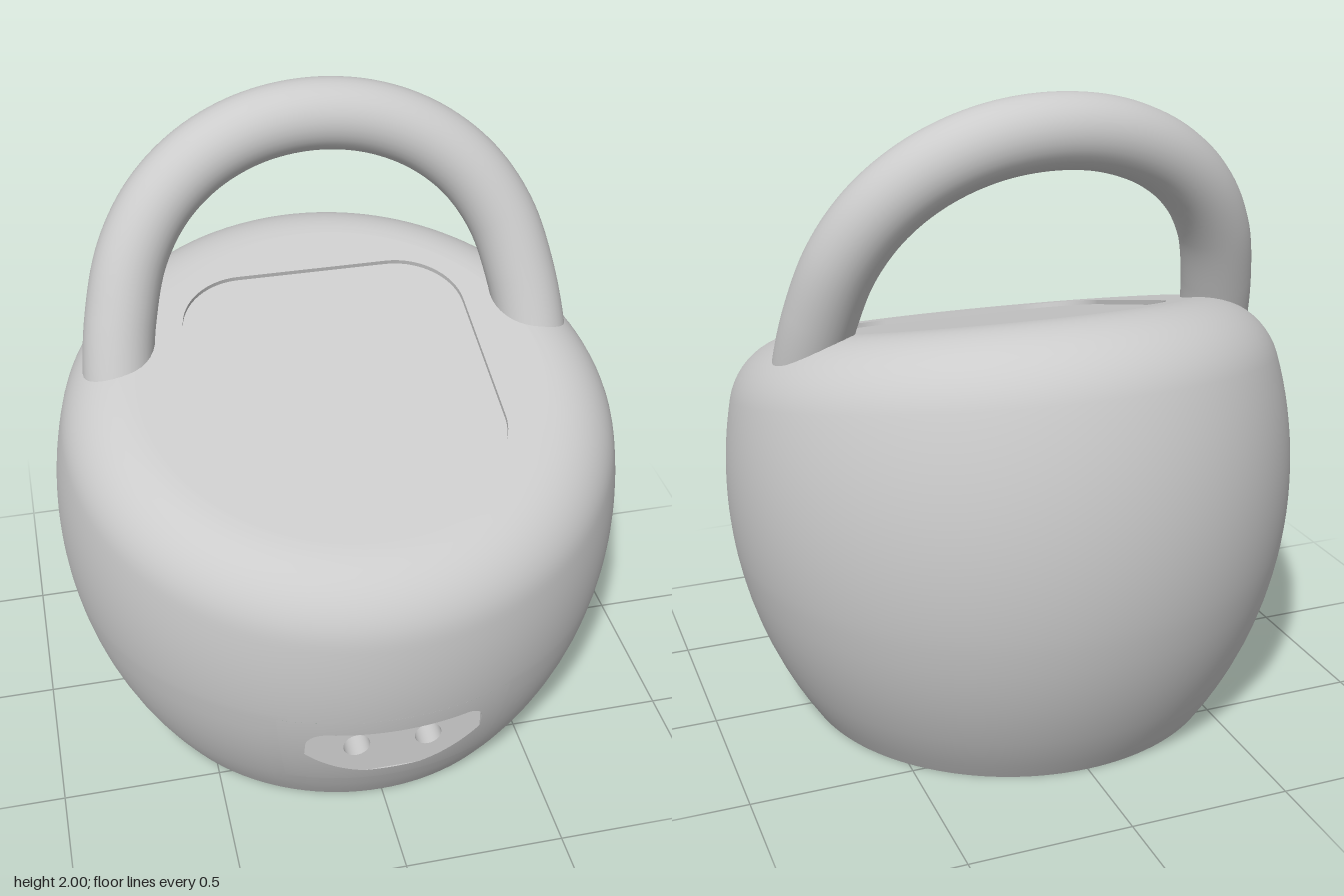
import * as THREE from 'three';

const material = new THREE.MeshStandardMaterial({ color: 0xcccccc });
const TILT = Math.PI / 12, TOP_Y = 1.25;            // slanted top plane
const R = 1.36, CX = -0.455, CY = 0.75, FILLET = 0.25; // barrel arc and top rounding
const SEG = 120, ROW_A = 3, ROW_B = 8, HALF = 8;    // body grid and its front opening
const Y0 = 0.17, Y1 = 0.52, PHI = HALF * 2 * Math.PI / SEG;
const FLOOR_Z = 0.797, PORT_Y = 0.345;

const barrelR = y => CX + Math.sqrt(R * R - (y - CY) ** 2);
const onBarrel = (phi, y, r = barrelR(y)) => new THREE.Vector3(r * Math.sin(phi), y, r * Math.cos(phi));

// Skin between closed rings of equal point count
function loft(rings, skip = () => false) {
  const n = rings[0].length, index = [];
  for (let j = 0; j < rings.length - 1; j++) {
    for (let i = 0; i < n; i++) {
      if (skip(j, i)) continue;
      const k = (i + 1) % n, a = j * n + i, b = j * n + k, c = b + n, d = a + n;
      index.push(a, b, c, a, c, d);
    }
  }
  const geo = new THREE.BufferGeometry().setFromPoints(rings.flat());
  geo.setIndex(index);
  geo.computeVertexNormals();
  return geo;
}

function add(parent, name, geo) {
  const mesh = new THREE.Mesh(geo, material);
  mesh.name = name;
  parent.add(mesh);
  return mesh;
}

// Section of the body at one azimuth: barrel arc, then rounding up to the slanted top
function section(phi) {
  const k = Math.tan(TILT) * Math.cos(phi), q = 1 + k * k, rho = R - FILLET;
  const b = TOP_Y - CY - FILLET * Math.sqrt(q), h = CX + k * b;
  const s = (h + Math.sqrt(h * h - q * (CX * CX + b * b - rho * rho))) / q;
  const fy = CY + b - k * s;
  const start = Math.asin((Y1 - CY) / R), a0 = Math.atan2(fy - CY, s - CX), a1 = Math.atan2(1, k);
  const pts = [];
  for (let j = 0; j <= ROW_A; j++) pts.push(onBarrel(phi, Y0 * j / ROW_A));
  for (let j = ROW_A + 1; j <= ROW_B; j++) pts.push(onBarrel(phi, Y0 + (Y1 - Y0) * (j - ROW_A) / (ROW_B - ROW_A)));
  for (let j = 1; j <= 14; j++) {
    const a = start + (a0 - start) * j / 14;
    pts.push(onBarrel(phi, CY + R * Math.sin(a), CX + R * Math.cos(a)));
  }
  for (let j = 1; j <= 12; j++) {
    const a = a0 + (a1 - a0) * j / 12;
    pts.push(onBarrel(phi, fy + FILLET * Math.sin(a), s + FILLET * Math.cos(a)));
  }
  return pts;
}

// Is a barrel point cut away by the port recess (rounded upper corners)?
function inRecess(phi, y) {
  const p = onBarrel(phi, y), dx = Math.abs(p.x) - 0.215, dy = y - 0.4;
  if (p.z < FLOOR_Z || y < 0.23 || y > 0.46 || dx > 0.06) return false;
  return !(dx > 0 && dy > 0 && Math.hypot(dx, dy) > 0.06);
}

function roundedRect(x0, y0, x1, y1, r) {
  const s = new THREE.Shape();
  s.absarc(x1 - r, y0 + r, r, -Math.PI / 2, 0);
  s.absarc(x1 - r, y1 - r, r, 0, Math.PI / 2);
  s.absarc(x0 + r, y1 - r, r, Math.PI / 2, Math.PI);
  s.absarc(x0 + r, y0 + r, r, Math.PI, Math.PI * 1.5);
  return s;
}

function circle(x, y, r, n = 32) {
  return Array.from({ length: n }, (_, i) => new THREE.Vector2(
    x + r * Math.cos(i / n * 2 * Math.PI), y + r * Math.sin(i / n * 2 * Math.PI)));
}
const atZ = (pts, z) => pts.map(p => new THREE.Vector3(p.x, p.y, z));

function makeBody() {
  const body = new THREE.Group();
  body.name = 'body';
  const columns = Array.from({ length: SEG }, (_, i) => section(i / SEG * 2 * Math.PI));
  const rings = columns[0].map((_, j) => columns.map(c => c[j]));
  add(body, 'shell', loft(rings, (j, i) =>
    j >= ROW_A && j < ROW_B && (i < HALF || i >= SEG - HALF)));
  const base = new THREE.CircleGeometry(barrelR(0), SEG);
  add(body, 'base', base.rotateX(Math.PI / 2));

  // Slanted top with a shallow rounded square inset
  const top = new THREE.Group();
  top.name = 'top';
  top.rotation.x = TILT - Math.PI / 2;
  top.position.y = TOP_Y;
  body.add(top);
  const rim = new THREE.Shape(rings.at(-1).map(p => new THREE.Vector2(p.x, -p.z / Math.cos(TILT))));
  const inset = roundedRect(-0.455, -0.549, 0.455, 0.367, 0.21).getPoints(12);
  rim.holes.push(new THREE.Path(inset));
  add(top, 'topFace', new THREE.ShapeGeometry(rim));
  add(top, 'insetWall', loft([atZ(inset, 0), atZ(inset, -0.015)]));
  add(top, 'insetPanel', new THREE.ShapeGeometry(new THREE.Shape(inset))).position.z = -0.015;
  return body;
}

function makePortRecess() {
  const recess = new THREE.Group();
  recess.name = 'portRecess';
  // Border of the shell opening, counter-clockwise from the front
  const border = [], n = 48, mid = (Y0 + Y1) / 2, h = (Y1 - Y0) / 2;
  for (const [ax, ay, bx, by] of [[-1, -1, 1, -1], [1, -1, 1, 1], [1, 1, -1, 1], [-1, 1, -1, -1]]) {
    for (let i = 0; i < n; i++) {
      const t = i / n;
      border.push([(ax + (bx - ax) * t) * PHI, (ay + (by - ay) * t) * h]);
    }
  }
  // Shrink each border point until it meets the recess edge
  const shrink = border.map(([p, d]) => {
    let lo = 0, hi = 1;
    for (let k = 0; k < 30; k++) {
      const m = (lo + hi) / 2;
      if (inRecess(p * m, mid + d * m)) lo = m; else hi = m;
    }
    return lo;
  });
  const rings = [];
  for (let j = 0; j <= 5; j++) {
    rings.push(border.map(([p, d], i) => {
      const s = 1 + (shrink[i] - 1) * j / 5;
      return onBarrel(p * s, mid + d * s);
    }));
  }
  const surround = loft(rings), pos = surround.attributes.position, v = new THREE.Vector3();
  for (let i = 0; i < pos.count; i++) {
    v.fromBufferAttribute(pos, i);
    const r = Math.hypot(v.x, v.z);
    v.set(v.x / r * (r - CX), v.y - CY, v.z / r * (r - CX)).normalize();
    surround.attributes.normal.setXYZ(i, v.x, v.y, v.z);
  }
  add(recess, 'surround', surround);

  const edge = rings.at(-1);
  add(recess, 'recessWall', loft([edge, atZ(edge, FLOOR_Z)]).toNonIndexed()).geometry.computeVertexNormals();
  const floor = new THREE.Shape(edge.map(p => new THREE.Vector2(p.x, p.y)));
  // Two round sockets
  for (const x of [-0.112, 0.112]) {
    const hole = circle(x, PORT_Y, 0.042);
    floor.holes.push(new THREE.Path(hole));
    add(recess, 'socketWall', loft([atZ(hole, FLOOR_Z), atZ(hole, FLOOR_Z - 0.08)]));
    add(recess, 'socketEnd', new THREE.ShapeGeometry(new THREE.Shape(hole))).position.z = FLOOR_Z - 0.08;
  }
  add(recess, 'recessFloor', new THREE.ShapeGeometry(floor)).position.z = FLOOR_Z;
  return recess;
}

// Arched tube leaning back, sunk into the shoulders
function makeHandle() {
  const half = [[0.675, 1.1], [0.67, 1.2], [0.645, 1.36], [0.59, 1.54], [0.495, 1.685], [0.36, 1.795], [0.19, 1.866]];
  const lean = ([x, y]) => new THREE.Vector3(x, y, -0.355 + (1.89 - y) * Math.tan(Math.PI / 9));
  const path = [...half, [0, 1.89], ...half.map(([x, y]) => [-x, y]).reverse()].map(lean);
  return new THREE.TubeGeometry(new THREE.CatmullRomCurve3(path), 96, 0.111, 32);
}

export function createModel() {
  const model = new THREE.Group();
  model.name = 'kettlebell';
  model.add(makeBody(), makePortRecess());
  add(model, 'handle', makeHandle());
  return model;
}
